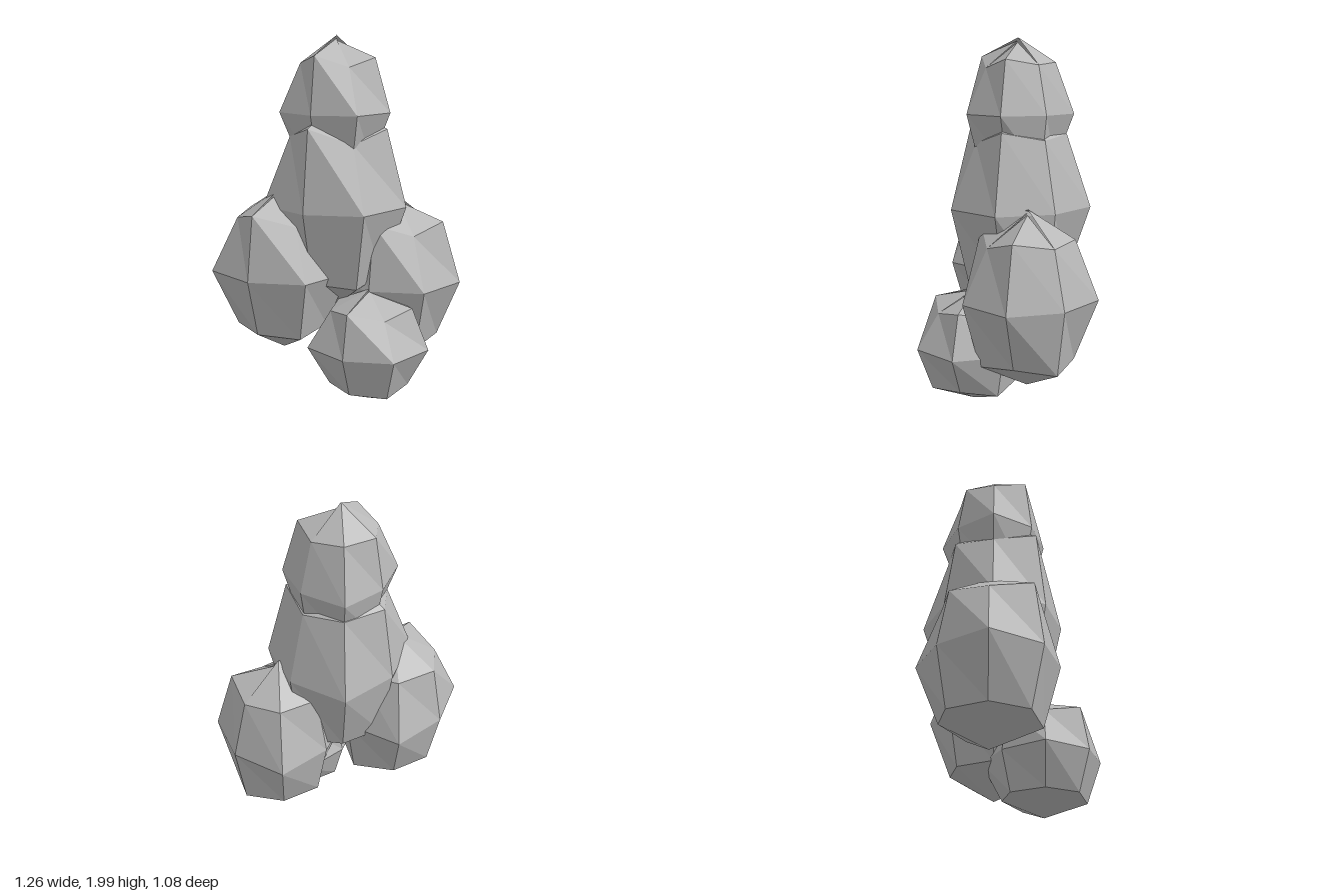
import * as THREE from 'three';

const SIDES = 7;
// radius factors around each ring (upper, middle, lower): the shared lumpy shape
const RINGS = [
  { tilt: Math.PI / 4, f: [0.95, 1.06, 0.89, 1.11, 0.95, 1.0, 1.0] },
  { tilt: 0, f: [0.92, 1.04, 1.01, 0.93, 1.07, 0.88, 1.06] },
  { tilt: -Math.PI / 4, f: [1.08, 0.97, 1.06, 1.0, 0.98, 1.0, 1.0] },
];
// the crown is slightly uneven, one height for each top facet
const CROWN = [0.98, 0.98, 1.0, 1.04, 1.04, 1.04, 1.05];

function lumpGeometry() {
  const pos = [];
  const point = (r, k) => {
    const { tilt, f } = RINGS[r];
    const i = k % SIDES;
    const a = (i / SIDES) * Math.PI * 2;
    const h = Math.cos(tilt) * f[i];
    return [h * Math.cos(a), Math.sin(tilt) * f[i], h * Math.sin(a)];
  };
  const tri = (...corners) => corners.forEach((c) => pos.push(...c));
  for (let k = 0; k < SIDES; k++) {
    tri([0, CROWN[k], 0], point(0, k + 1), point(0, k));
    for (let r = 0; r < 2; r++) {
      tri(point(r, k), point(r, k + 1), point(r + 1, k));
      tri(point(r, k + 1), point(r + 1, k + 1), point(r + 1, k));
    }
    tri([0, -1.04, 0], point(2, k), point(2, k + 1));
  }
  const g = new THREE.BufferGeometry();
  g.setAttribute('position', new THREE.Float32BufferAttribute(pos, 3));
  g.computeVertexNormals();
  return g;
}

export function createModel() {
  const group = new THREE.Group();
  group.name = 'lumpCluster';
  const grey = new THREE.MeshStandardMaterial({ color: 0xb8b8b8 });
  grey.name = 'grey';
  grey.flatShading = true;
  grey.side = THREE.DoubleSide;
  const geometry = lumpGeometry();

  // name, centre, horizontal radius, vertical radius
  const lumps = [
    ['topLump', [-0.01, 1.58, -0.08], 0.293, 0.392],
    ['middleLump', [-0.01, 1.065, -0.08], 0.385, 0.57],
    ['leftLump', [0.3, 0.62, 0.07], 0.358, 0.46],
    ['rightLump', [-0.277, 0.7, -0.226], 0.372, 0.45],
    ['frontLump', [0, 0.32, 0.22], 0.32, 0.305],
  ];
  for (const [name, centre, radius, height] of lumps) {
    const mesh = new THREE.Mesh(geometry, grey);
    mesh.name = name;
    mesh.position.set(...centre);
    mesh.scale.set(radius, height, radius);
    group.add(mesh);
  }
  return group;
}
